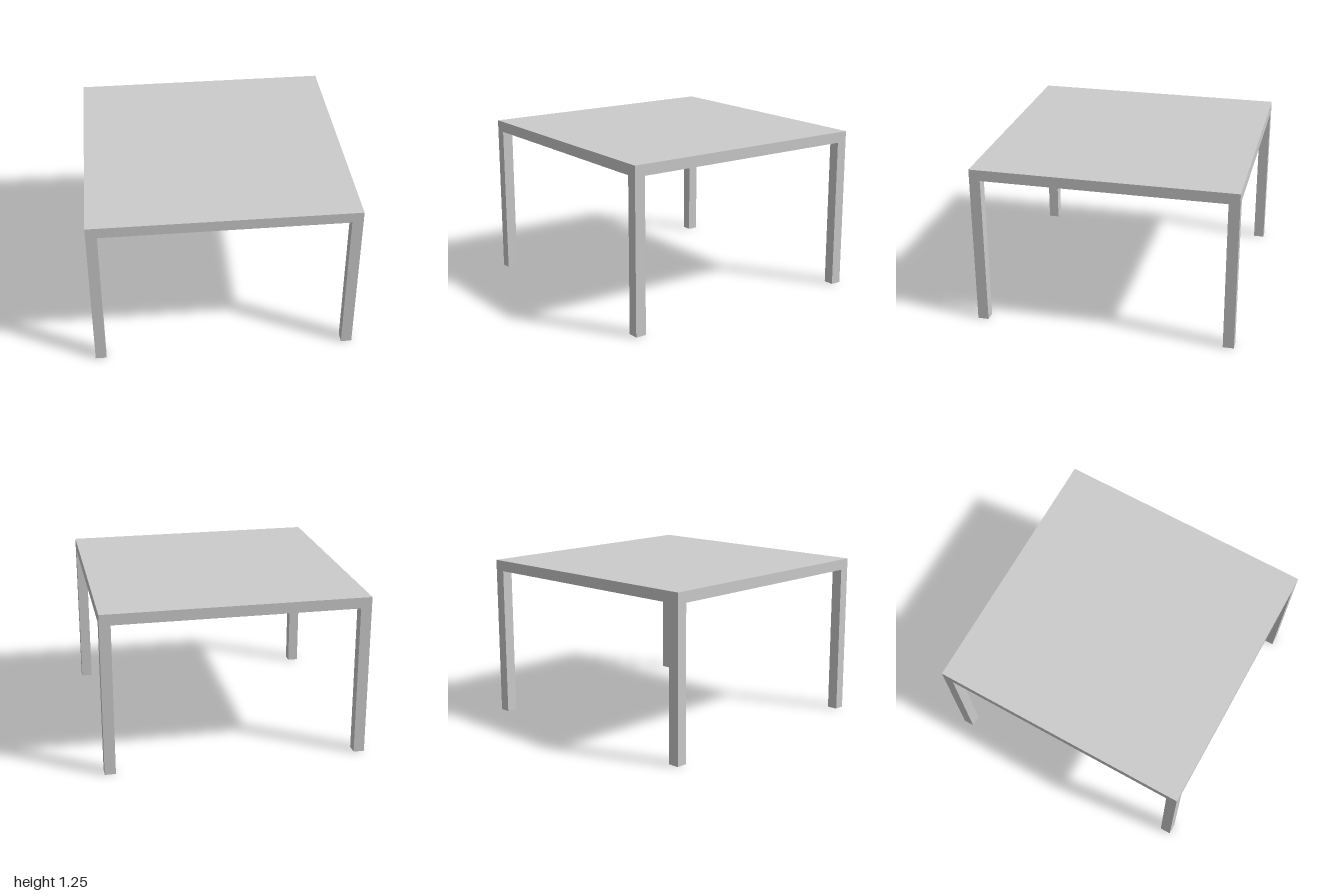
import * as THREE from 'three';

const HEIGHT = 1.25;
const WIDTH = 2;
const THICKNESS = 0.083; // table top thickness and leg width

export function createModel() {
  const table = new THREE.Group();
  table.name = 'table';
  const material = new THREE.MeshStandardMaterial({ color: 0xcccccc, flatShading: true });

  function addBox(name, size, position) {
    const mesh = new THREE.Mesh(new THREE.BoxGeometry(...size), material);
    mesh.name = name;
    mesh.position.set(...position);
    table.add(mesh);
  }

  // Solid square top
  addBox('tableTop', [WIDTH, THICKNESS, WIDTH], [0, HEIGHT - THICKNESS / 2, 0]);

  // Square legs, flush with the corners of the top
  const legHeight = HEIGHT - THICKNESS;
  const offset = (WIDTH - THICKNESS) / 2;
  for (const [zName, z] of [['front', 1], ['back', -1]]) {
    for (const [xName, x] of [['Left', 1], ['Right', -1]]) {
      addBox(`${zName}${xName}Leg`, [THICKNESS, legHeight, THICKNESS], [x * offset, legHeight / 2, z * offset]);
    }
  }

  return table;
}
